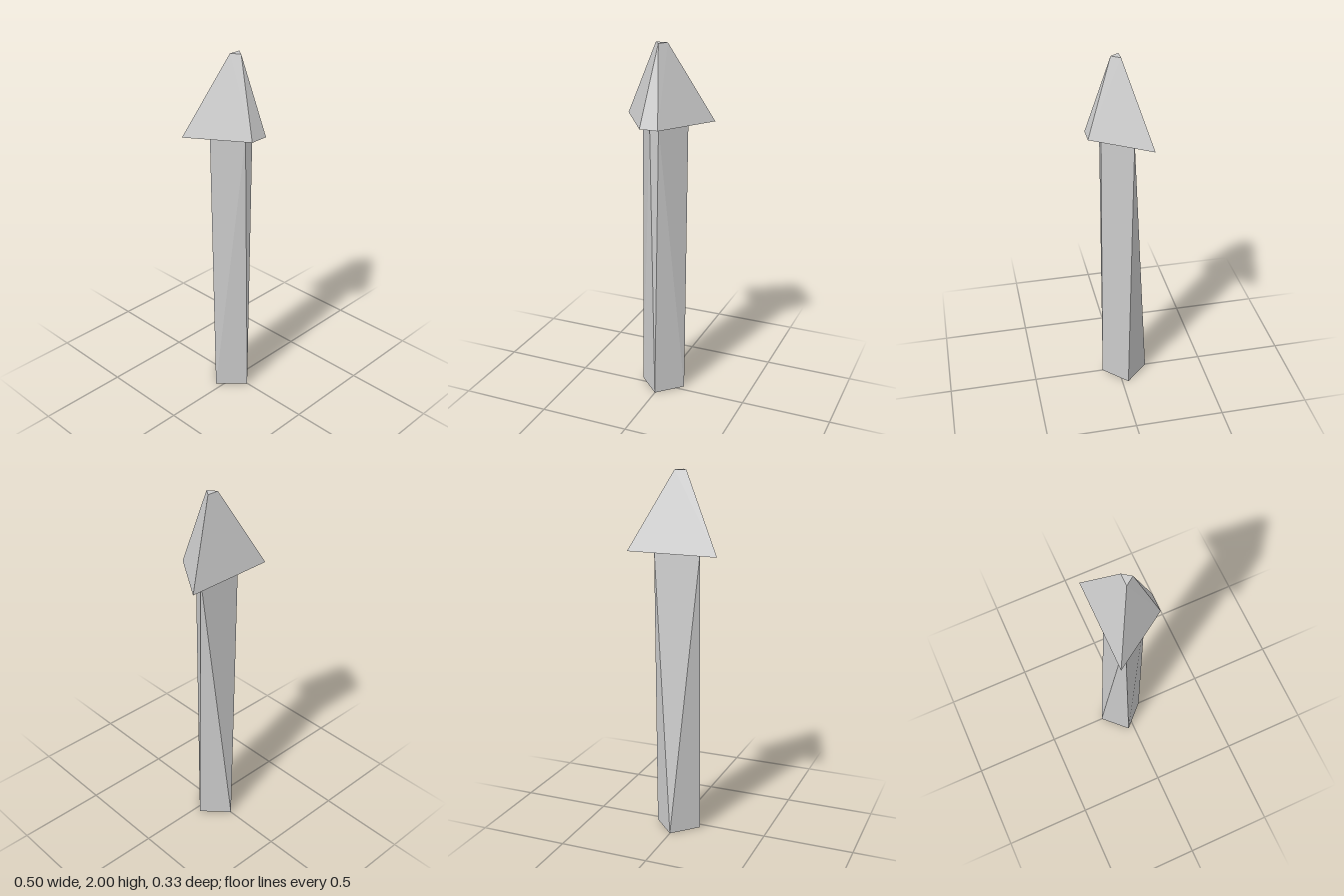
import * as THREE from 'three';
import { ConvexGeometry } from 'three/addons/geometries/ConvexGeometry.js';

const material = new THREE.MeshStandardMaterial({ color: 0xcccccc, flatShading: true });

// Faceted solid spanned between two flat outlines, each a list of [x, z] corners
function facetedSolid(name, y0, lower, y1, upper) {
  const at = (y) => ([x, z]) => new THREE.Vector3(x, y, z);
  const mesh = new THREE.Mesh(
    new ConvexGeometry([...lower.map(at(y0)), ...upper.map(at(y1))]), material);
  mesh.name = name;
  return mesh;
}

// Trapezoid outline: wide edge at the back, narrow edge at the front
const trapezoid = (backX, backZ, frontX, frontZ) =>
  [[-backX, backZ], [backX, backZ], [frontX, frontZ], [-frontX, frontZ]];

export function createModel() {
  const group = new THREE.Group();
  group.name = 'spike';

  // Shaft: diamond foot twisting into a trapezoid under the head
  const foot = [[0, 0.095], [0.13, -0.035], [0, -0.167], [-0.13, -0.035]];
  group.add(facetedSolid('shaft', 0, foot, 1.58, trapezoid(0.13, -0.058, 0.025, 0.095)));

  // Head: trapezoid base tapering to a small triangular tip
  const tip = [[-0.033, -0.008], [0.033, -0.008], [0, 0.038]];
  group.add(facetedSolid('head', 1.58, trapezoid(0.252, -0.136, 0.051, 0.167), 2, tip));

  return group;
}
